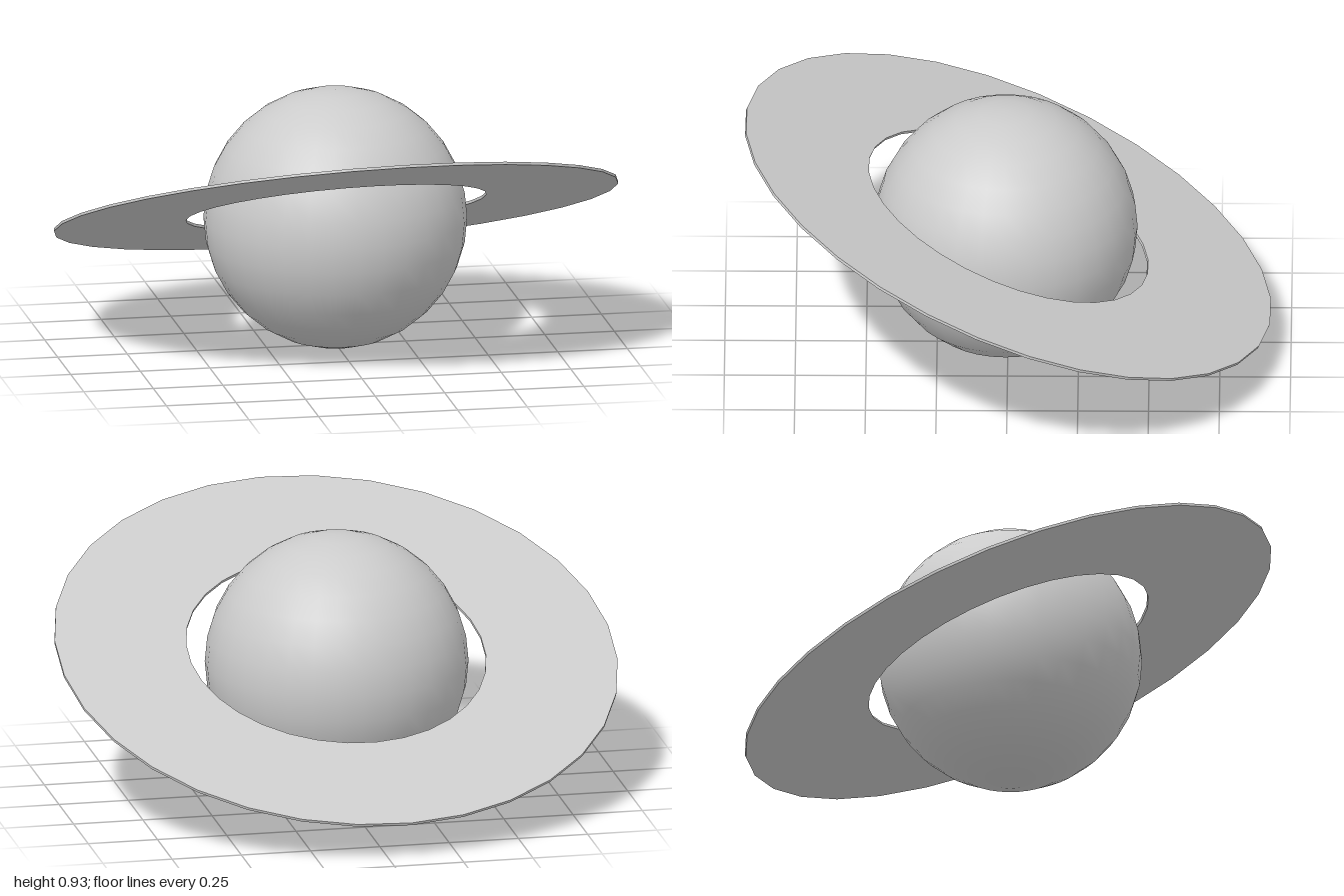
import * as THREE from 'three';

export function createModel() {
  const model = new THREE.Group();
  model.name = 'ringedPlanet';
  const rad = THREE.MathUtils.degToRad;

  // Smooth globe resting on the ground
  const globe = new THREE.Mesh(
    new THREE.SphereGeometry(0.466, 32, 16),
    new THREE.MeshStandardMaterial({ color: 0xcccccc })
  );
  globe.name = 'globe';
  globe.position.set(-0.004, 0.467, 0.008);
  model.add(globe);

  // Thin flat ring: a rectangular section turned around the axis
  const inner = 0.533, outer = 1.002, half = 0.005;
  const section = [
    [inner, -half], [outer, -half], [outer, half], [inner, half], [inner, -half],
  ].map(([x, y]) => new THREE.Vector2(x, y));
  const ring = new THREE.Mesh(
    new THREE.LatheGeometry(section, 32, rad(4.5)),
    new THREE.MeshStandardMaterial({ color: 0xcccccc, flatShading: true })
  );
  ring.name = 'ring';
  ring.position.set(0, 0.505, 0);
  // Front edge raised, with a slight roll
  ring.rotation.set(rad(-21.9), 0, rad(1.3));
  model.add(ring);

  return model;
}
